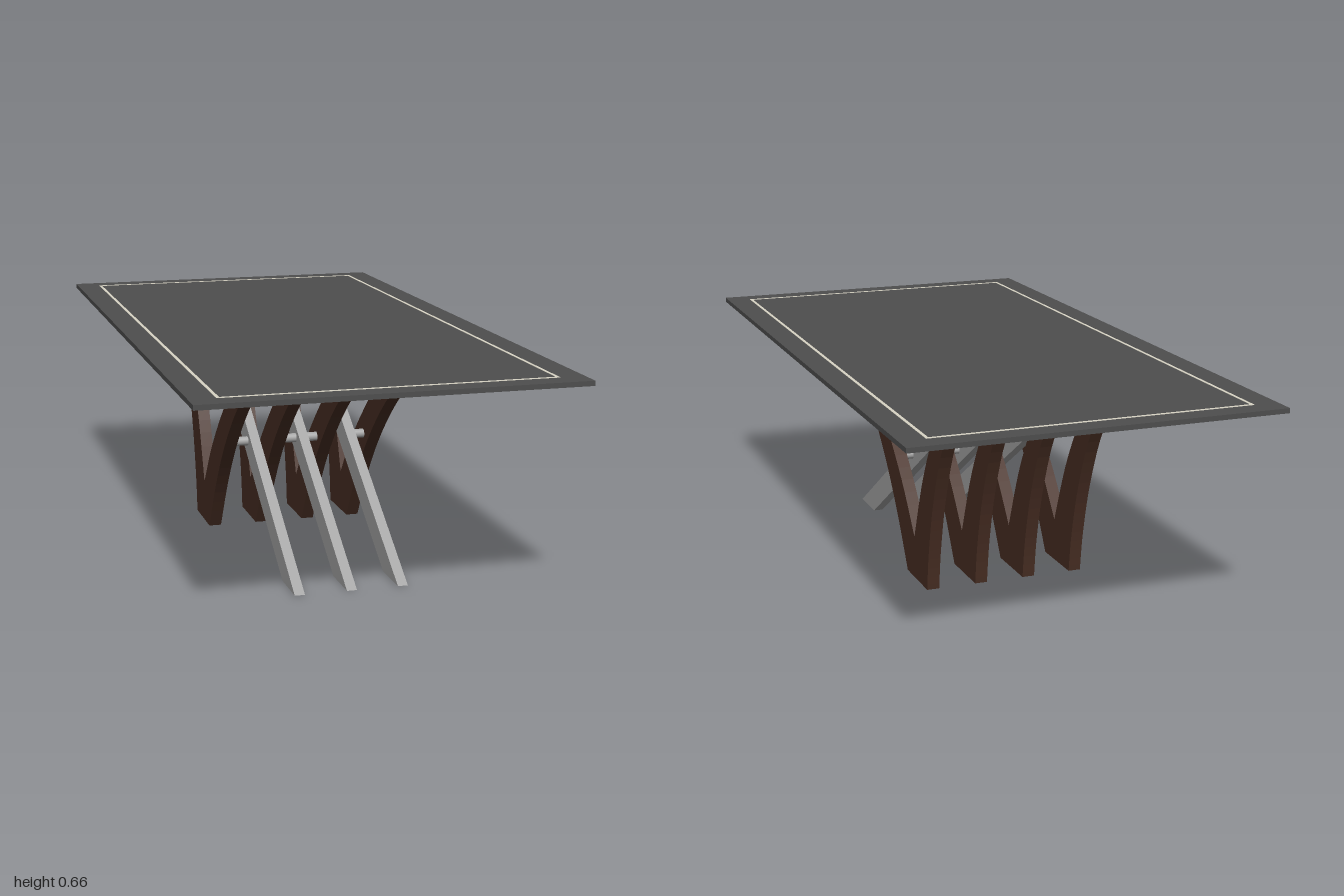
import * as THREE from 'three';

const material = (name, color) => Object.assign(new THREE.MeshStandardMaterial({ color }), { name });

// Extrudes a side profile of [z, y] points across x, centred on x
function sideExtrude(shape, width, x, mat, name) {
  const geo = new THREE.ExtrudeGeometry(shape, { depth: width, bevelEnabled: false, curveSegments: 4 });
  geo.translate(0, 0, -width / 2);
  geo.rotateY(-Math.PI / 2);
  const mesh = new THREE.Mesh(geo, mat);
  mesh.position.x = x;
  mesh.name = name;
  return mesh;
}

const vec = (pts) => pts.map(([a, b]) => new THREE.Vector2(a, b));

// Closed profile: start edge curve, across the top, second curve back down
function armShape(edgeUp, edgeDown, corner) {
  const s = new THREE.Shape();
  s.moveTo(...edgeUp[0]);
  s.splineThru(vec(edgeUp.slice(1)));
  s.lineTo(...edgeDown[0]);
  s.splineThru(vec(edgeDown.slice(1)));
  s.lineTo(...corner);
  s.closePath();
  return s;
}

function rectPath(Type, hx, hy) {
  return new Type(vec([[-hx, -hy], [hx, -hy], [hx, hy], [-hx, hy]]));
}

export function createModel() {
  const group = new THREE.Group();
  const slate = material('dark slate', 0x4e4e4e);
  const cream = material('cream inlay', 0xd9d5c5);
  const wood = material('dark wood', 0x482e23);
  const steel = material('brushed steel', 0xa6a6a6);

  // Table top
  const top = new THREE.Mesh(new THREE.BoxGeometry(1.072, 0.014, 2), slate);
  top.position.y = 0.656;
  top.name = 'tableTop';
  group.add(top);

  // Thin inlaid border line
  const border = rectPath(THREE.Shape, 0.464, 0.939);
  border.holes.push(rectPath(THREE.Path, 0.455, 0.93));
  const inlayGeo = new THREE.ExtrudeGeometry(border, { depth: 0.002, bevelEnabled: false });
  inlayGeo.rotateX(-Math.PI / 2);
  const inlay = new THREE.Mesh(inlayGeo, cream);
  inlay.position.y = 0.662;
  inlay.name = 'borderInlay';
  group.add(inlay);

  // Curved V legs: long front arm and short back arm
  const frontArm = armShape(
    [[-0.12, 0], [-0.02, 0.16], [0.10, 0.31], [0.25, 0.45], [0.41, 0.56], [0.59, 0.65]],
    [[0.45, 0.65], [0.24, 0.54], [0.09, 0.425], [-0.07, 0.275], [-0.187, 0.13]],
    [-0.187, 0]);
  const backArm = armShape(
    [[-0.302, 0], [-0.32, 0.13], [-0.365, 0.30], [-0.445, 0.48], [-0.578, 0.65]],
    [[-0.495, 0.65], [-0.42, 0.575], [-0.34, 0.46], [-0.26, 0.315], [-0.187, 0.13]],
    [-0.187, 0]);
  for (const x of [-0.235, -0.082, 0.072, 0.225]) {
    const leg = new THREE.Group();
    leg.name = 'woodLeg';
    leg.add(sideExtrude(frontArm, 0.038, x, wood, 'frontArm'));
    leg.add(sideExtrude(backArm, 0.038, x, wood, 'backArm'));
    group.add(leg);
  }

  // Slanted steel bars between the wooden legs
  const bar = new THREE.Shape(vec([[0.6, 0], [0.465, 0], [-0.545, 0.65], [-0.41, 0.65]]));
  for (const x of [-0.153, 0.001, 0.154]) {
    group.add(sideExtrude(bar, 0.03, x, steel, 'steelBar'));
  }

  // Cross rods joining legs and bars
  for (const [a, b] of [[-0.235, -0.153], [-0.082, 0.072], [0.154, 0.225]]) {
    const geo = new THREE.CylinderGeometry(0.014, 0.014, b - a, 20);
    geo.rotateZ(Math.PI / 2);
    const rod = new THREE.Mesh(geo, steel);
    rod.position.set((a + b) / 2, 0.317, 0.05);
    rod.name = 'crossRod';
    group.add(rod);
  }
  return group;
}
